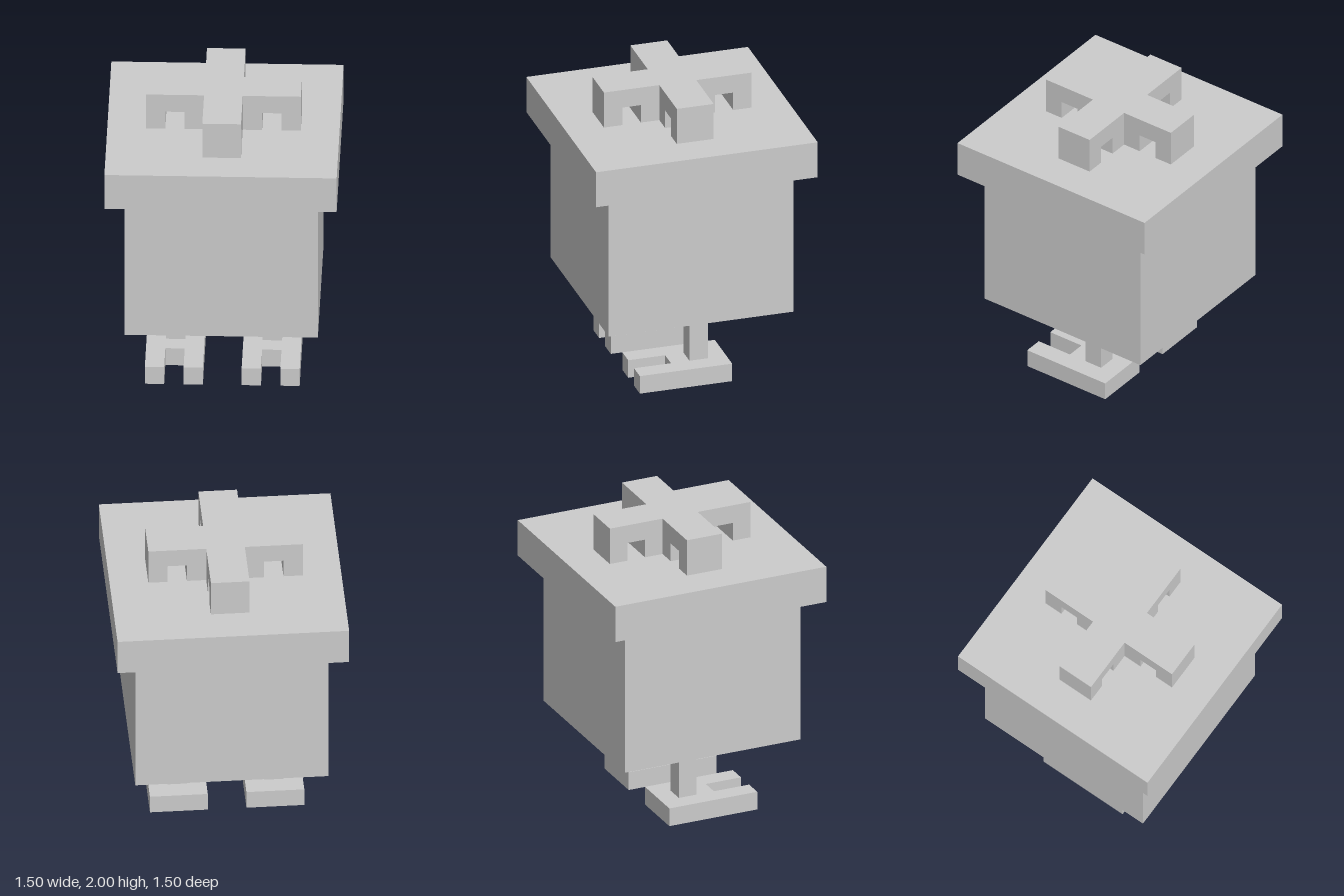
import * as THREE from 'three';

const U = 0.125; // the whole model sits on a grid of this unit
const material = new THREE.MeshStandardMaterial({ color: 0xcccccc, flatShading: true });

// Box given by its minimum and maximum corners, in grid units
function box(name, min, max) {
  const size = max.map((v, i) => (v - min[i]) * U);
  const mesh = new THREE.Mesh(new THREE.BoxGeometry(...size), material);
  mesh.name = name;
  mesh.position.set(...max.map((v, i) => ((v + min[i]) / 2) * U));
  return mesh;
}

// Extruded outline, in grid units
function slab(points, depth) {
  const shape = new THREE.Shape(points.map(([x, y]) => new THREE.Vector2(x * U, y * U)));
  return new THREE.ExtrudeGeometry(shape, { depth: depth * U, bevelEnabled: false });
}

export function createModel() {
  const model = new THREE.Group();
  model.name = 'walkingGiftBox';

  // Box and its overhanging lid
  model.add(box('body', [-5, 4, -5], [5, 12, 5]));
  model.add(box('lid', [-6, 12, -6], [6, 14, 6]));

  // Bow: a square knot with four notched loops around it
  const bow = new THREE.Group();
  bow.name = 'bow';
  bow.add(box('knot', [-1, 14, -1], [1, 16, 1]));
  const loopGeometry = slab(
    [[1, 14], [2, 14], [2, 15], [3, 15], [3, 14], [4, 14], [4, 16], [1, 16]], 2);
  loopGeometry.translate(0, 0, -U);
  for (let i = 0; i < 4; i++) {
    const loop = new THREE.Mesh(loopGeometry, material);
    loop.name = 'bowLoop';
    loop.rotation.y = (i * Math.PI) / 2;
    bow.add(loop);
  }
  model.add(bow);

  // Legs with two-toed feet, toes pointing forward
  const footGeometry = slab(
    [[-1.5, 2], [-1.5, -3], [-0.5, -3], [-0.5, -1], [0.5, -1], [0.5, -3], [1.5, -3], [1.5, 2]], 1);
  footGeometry.rotateX(-Math.PI / 2);
  for (const side of [1, -1]) {
    const leg = new THREE.Group();
    leg.name = side > 0 ? 'leftLeg' : 'rightLeg';
    leg.position.x = side * 2.5 * U;
    leg.add(box('shin', [-0.5, 1, -1], [0.5, 4, 0]));
    const foot = new THREE.Mesh(footGeometry, material);
    foot.name = 'foot';
    leg.add(foot);
    model.add(leg);
  }
  return model;
}
